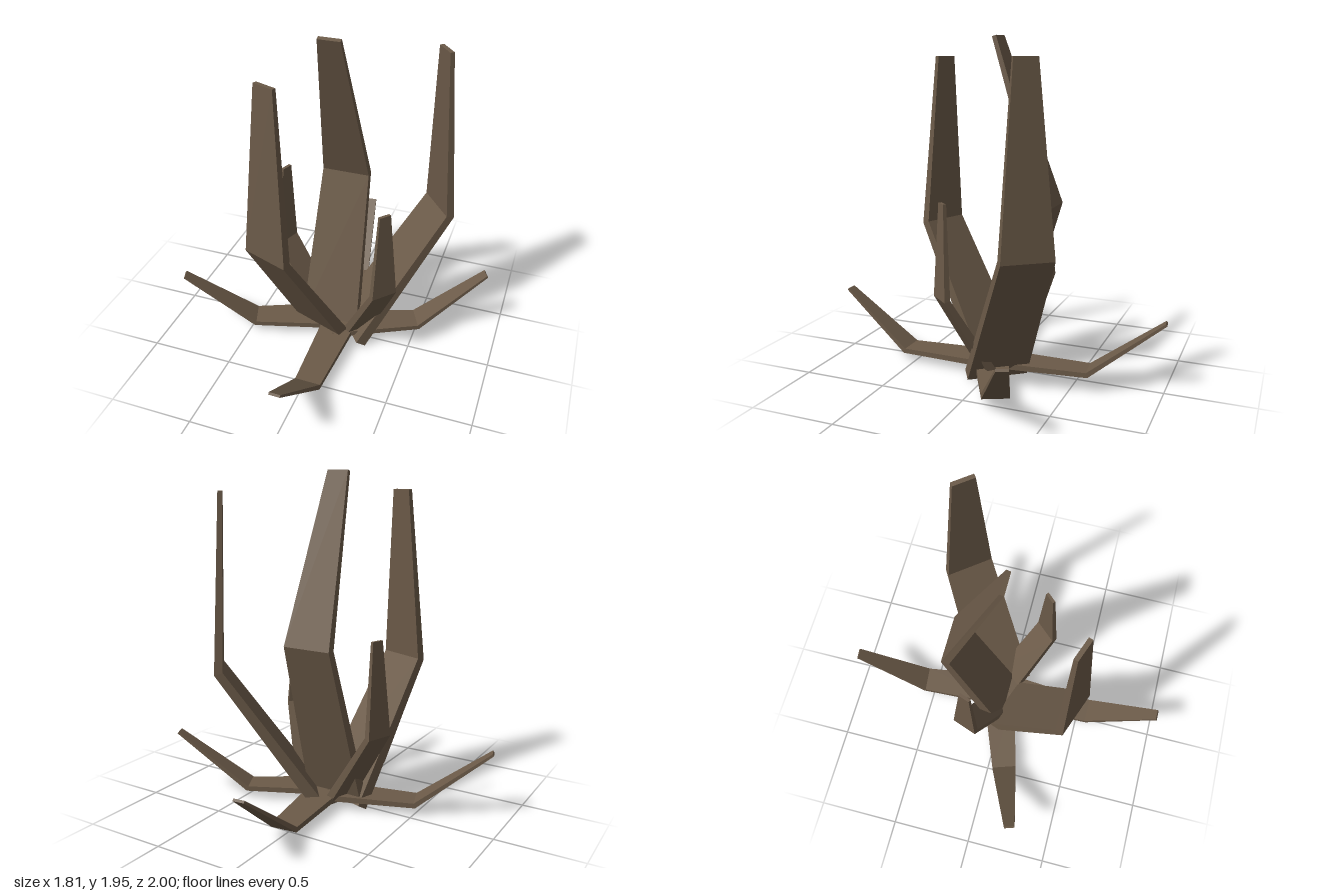
import * as THREE from 'three';

const bark = new THREE.MeshStandardMaterial({ color: 0x6b5a48 });
bark.name = 'bark brown';

// Bent, tapering blade: three rectangular sections (base, bend, tip) joined with a mitre.
function blade(name, points, widths, depths) {
  const p = points.map((a) => new THREE.Vector3(...a));
  const out = p[1].clone().sub(p[0]).setY(0).normalize();
  const side = new THREE.Vector3(out.z, 0, -out.x);
  const lower = p[1].clone().sub(p[0]).normalize();
  const upper = p[2].clone().sub(p[1]).normalize();
  const tangents = [lower, lower.clone().add(upper).normalize(), upper];
  const normals = tangents.map((t) => side.clone().cross(t).normalize());

  const box = new THREE.BoxGeometry(1, 2, 1, 1, 2, 1);
  const pos = box.attributes.position;
  for (let i = 0; i < pos.count; i++) {
    const k = Math.round(pos.getY(i) + 1);
    const v = p[k].clone()
      .addScaledVector(side, pos.getX(i) * widths[k])
      .addScaledVector(normals[k], pos.getZ(i) * depths[k]);
    pos.setXYZ(i, v.x, v.y, v.z);
  }
  const geometry = box.toNonIndexed();
  geometry.computeVertexNormals();
  const mesh = new THREE.Mesh(geometry, bark);
  mesh.name = name;
  return mesh;
}

export function createModel() {
  const group = new THREE.Group();
  group.name = 'spikyPlant';

  // Tall inner blades
  const tall = {
    tallBladeBack: [[-0.02, 0.06, -0.02], [-0.02, 1.01, -0.32], [-0.02, 1.955, 0.0]],
    tallBladeLeft: [[0.11, 0.025, -0.04], [0.555, 0.84, -0.385], [0.525, 1.845, -0.36]],
    tallBladeFront: [[-0.05, 0.025, 0.0], [-0.22, 0.84, 0.457], [-0.205, 1.845, 0.42]],
  };
  for (const [name, pts] of Object.entries(tall)) {
    group.add(blade(name, pts, [0.36, 0.29, 0.13], [0.07, 0.05, 0.025]));
  }

  // Short upright blades
  const short = {
    shortBladeFront: [[0.16, 0.05, -0.01], [0.37, 0.525, 0.18], [0.36, 1.06, 0.175]],
    shortBladeBack: [[-0.06, 0.05, -0.055], [-0.37, 0.525, -0.165], [-0.35, 1.06, -0.15]],
  };
  for (const [name, pts] of Object.entries(short)) {
    group.add(blade(name, pts, [0.19, 0.16, 0.07], [0.05, 0.035, 0.018]));
  }

  // Low spreading leaves
  const low = {
    lowLeafFront: [[0.05, 0.075, 0.0], [0.042, 0.065, 0.565], [0.03, 0.395, 0.993]],
    lowLeafBack: [[0.04, 0.075, 0.0], [-0.015, 0.065, -0.565], [-0.05, 0.395, -0.993]],
    lowLeafLeft: [[0.0, 0.075, 0.04], [0.5, 0.065, -0.195], [0.885, 0.395, -0.385]],
    lowLeafRight: [[0.0, 0.075, -0.05], [-0.483, 0.065, 0.11], [-0.892, 0.395, 0.25]],
  };
  for (const [name, pts] of Object.entries(low)) {
    group.add(blade(name, pts, [0.21, 0.155, 0.065], [0.035, 0.03, 0.014]));
  }
  return group;
}
